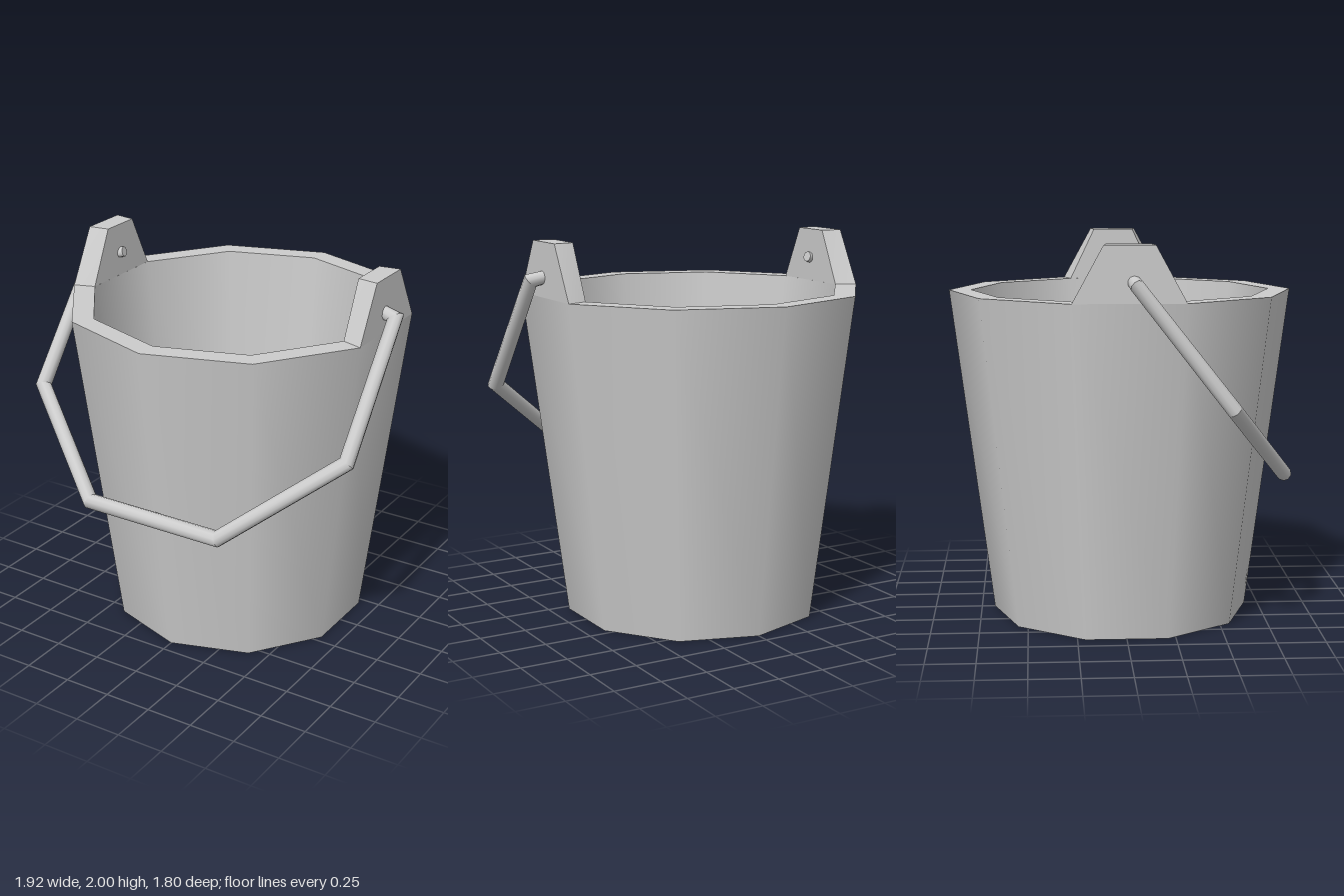
import * as THREE from 'three';

const SIDES = 10;
const RIM_Y = 1.72;
const material = new THREE.MeshStandardMaterial({ color: 0xcccccc });

function addMesh(parent, name, geometry) {
  const mesh = new THREE.Mesh(geometry, material);
  mesh.name = name;
  parent.add(mesh);
  return mesh;
}

// One ten-sided band between two [radius, y] profile points
function band([r0, y0], [r1, y1]) {
  return new THREE.LatheGeometry([new THREE.Vector2(r0, y0), new THREE.Vector2(r1, y1)], SIDES);
}

// Upright lug over a flat side of the rim: a box narrowed towards its top
function lugGeometry(side) {
  const inner = 0.747, outer = 0.856, height = 2 - RIM_Y;
  const geometry = new THREE.BoxGeometry(outer - inner, height, 2);
  geometry.translate(side * (inner + outer) / 2, RIM_Y + height / 2, 0);
  const p = geometry.attributes.position;
  for (let i = 0; i < p.count; i++) {
    const spread = p.getY(i) > RIM_Y + 0.1 ? 0.146 : Math.tan(Math.PI / SIDES);
    p.setZ(i, p.getZ(i) * Math.abs(p.getX(i)) * spread);
  }
  geometry.computeVertexNormals();
  return geometry;
}

// Round rod along a flat path of [x, y, radius] points, with mitred corners
function rodGeometry(path, sides = 10) {
  const points = path.map(([x, y]) => new THREE.Vector2(x, y));
  const rings = points.map((p, i) => {
    const before = points[Math.max(i - 1, 0)], after = points[Math.min(i + 1, points.length - 1)];
    const tIn = (i ? p.clone().sub(before) : after.clone().sub(p)).normalize();
    const tOut = (after !== p ? after.clone().sub(p) : p.clone().sub(before)).normalize();
    const t = tIn.clone().add(tOut).normalize();
    const stretch = 1 / t.dot(tIn);
    const r = path[i][2];
    return Array.from({ length: sides }, (_, k) => {
      const a = (k / sides) * Math.PI * 2, c = r * Math.cos(a) * stretch;
      return [p.x - t.y * c, p.y + t.x * c, r * Math.sin(a)];
    });
  });

  const positions = [], index = [];
  const addRing = (ring) => {
    const start = positions.length / 3;
    ring.forEach((v) => positions.push(...v));
    return start;
  };
  // Separate rings per segment keep the corners crisp
  for (let i = 0; i < rings.length - 1; i++) {
    const s = addRing(rings[i]), e = addRing(rings[i + 1]);
    for (let k = 0; k < sides; k++) {
      const n = (k + 1) % sides;
      index.push(s + k, s + n, e + n, s + k, e + n, e + k);
    }
  }
  // End caps
  const s = addRing(rings[0]), e = addRing(rings[rings.length - 1]);
  for (let k = 1; k < sides - 1; k++) {
    index.push(s, s + k + 1, s + k, e, e + k, e + k + 1);
  }
  const geometry = new THREE.BufferGeometry();
  geometry.setAttribute('position', new THREE.Float32BufferAttribute(positions, 3));
  geometry.setIndex(index);
  geometry.computeVertexNormals();
  return geometry;
}

export function createModel() {
  const model = new THREE.Group();
  model.name = 'bucket';

  // Hollow tapered body, each band smooth around and sharp at its edges
  const body = new THREE.Group();
  body.name = 'body';
  model.add(body);
  const profile = [[0, 0], [0.68, 0], [0.9, RIM_Y], [0.785, RIM_Y], [0.62, 0.1], [0, 0.1]];
  ['underside', 'outerWall', 'rim', 'innerWall', 'floor'].forEach((name, i) => {
    addMesh(body, name, band(profile[i], profile[i + 1]));
  });

  // Lugs that carry the handle
  addMesh(model, 'leftLug', lugGeometry(1));
  addMesh(model, 'rightLug', lugGeometry(-1));

  // Handle hanging forward from its pivots, with thin hooked ends
  const half = [[0.725, 0, 0.027], [0.915, -0.055, 0.037], [0.918, -0.81, 0.04], [0.385, -1.335, 0.04]];
  const mirrored = half.map(([x, y, r]) => [-x, y, r]).reverse();
  const handle = addMesh(model, 'handle', rodGeometry([...half, ...mirrored]));
  handle.position.y = 1.85;
  handle.rotation.x = -0.665;

  return model;
}
